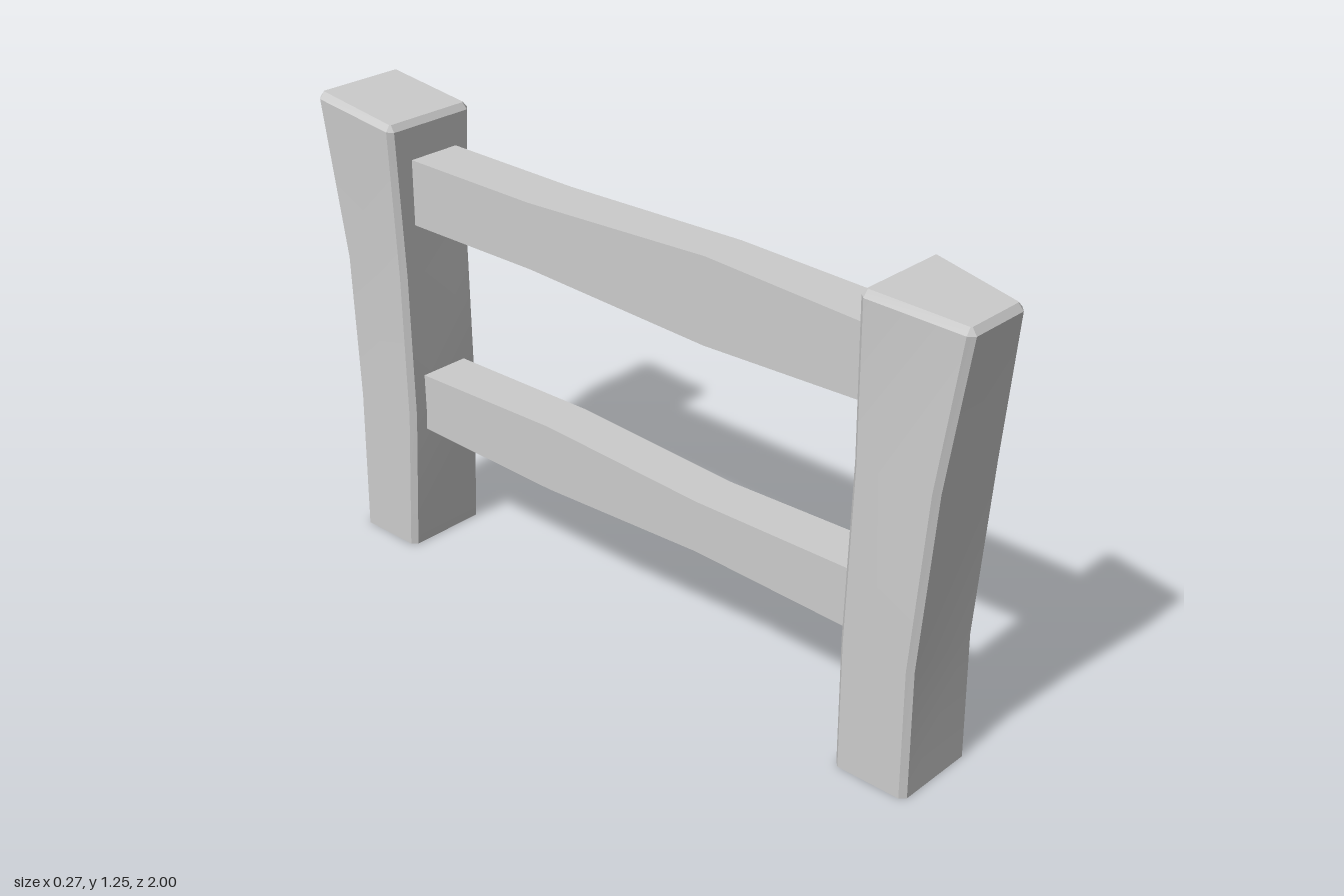
import * as THREE from 'three';
import { toCreasedNormals } from 'three/addons/utils/BufferGeometryUtils.js';

const material = new THREE.MeshStandardMaterial({ color: 0xcccccc });

// Skin a list of equal-length rings (counter-clockwise seen from the last ring), capped at both ends
function loft(name, rings) {
  const n = rings[0].length;
  const index = [];
  for (let r = 0; r < rings.length - 1; r++) {
    for (let i = 0; i < n; i++) {
      const a = r * n + i, b = r * n + (i + 1) % n;
      index.push(a, b, b + n, a, b + n, a + n);
    }
  }
  const last = (rings.length - 1) * n;
  for (let i = 1; i < n - 1; i++) {
    index.push(0, i + 1, i);
    index.push(last, last + i, last + i + 1);
  }
  const geometry = new THREE.BufferGeometry();
  geometry.setAttribute('position', new THREE.Float32BufferAttribute(rings.flat(2), 3));
  geometry.setIndex(index);
  const mesh = new THREE.Mesh(toCreasedNormals(geometry, 0.5), material);
  mesh.name = name;
  return mesh;
}

// Post section: a tapered rectangle with chamfered corners, sloping from front to back
function postRing([zFront, zBack, yFront, yBack, halfFront, halfBack], c = 0.014) {
  const corners = [[halfFront, zFront], [halfBack, zBack], [-halfBack, zBack], [-halfFront, zFront]]
    .map(([x, z]) => new THREE.Vector2(x, z));
  const ring = [];
  corners.forEach((p, i) => {
    for (const q of [corners[(i + 3) % 4], corners[(i + 1) % 4]]) {
      const v = p.clone().add(q.clone().sub(p).setLength(c));
      const t = (v.y - zBack) / (zFront - zBack);
      ring.push([v.x, yBack + (yFront - yBack) * t, v.y]);
    }
  });
  return ring;
}

// Post from sections, finished with a bevelled top
function post(name, sections) {
  const [zF, zB, yF, yB, hF, hB] = sections[sections.length - 1];
  const b = 0.013;
  const top = [zF - b, zB + b, yF + 0.017, yB + 0.017, hF - b, hB - b];
  return loft(name, [...sections.map((s) => postRing(s)), postRing(top, 0.003)]);
}

// Rail from stations: z, left and right x, bottom and top y
function rail(name, stations) {
  return loft(name, stations.map(([z, x0, x1, y0, y1]) =>
    [[x1, y0, z], [x1, y1, z], [x0, y1, z], [x0, y0, z]]));
}

export function createModel() {
  const group = new THREE.Group();
  group.name = 'fence';

  // Posts: zFront, zBack, yFront, yBack, halfFront, halfBack
  group.add(post('frontPost', [
    [0.93, 0.727, 0, 0, 0.122, 0.122],
    [0.925, 0.722, 0.34, 0.34, 0.12, 0.12],
    [0.958, 0.733, 0.8, 0.8, 0.118, 0.12],
    [1.0, 0.737, 1.172, 1.199, 0.098, 0.135],
  ]));
  group.add(post('backPost', [
    [-0.73, -0.93, 0, 0, 0.122, 0.122],
    [-0.71, -0.928, 0.4, 0.4, 0.119, 0.119],
    [-0.717, -0.945, 0.8, 0.8, 0.119, 0.119],
    [-0.717, -1.0, 1.197, 1.228, 0.137, 0.135],
  ]));

  // Hand-hewn rails, with their ends sunk into the posts
  group.add(rail('upperRail', [
    [-0.77, -0.07, 0.08, 0.935, 1.112],
    [-0.3, -0.07, 0.077, 0.935, 1.108],
    [0.27, -0.077, 0.05, 0.915, 1.135],
    [0.78, -0.08, 0.066, 0.932, 1.11],
  ]));
  group.add(rail('lowerRail', [
    [-0.77, -0.07, 0.072, 0.35, 0.508],
    [-0.25, -0.068, 0.066, 0.338, 0.518],
    [0.25, -0.072, 0.058, 0.36, 0.497],
    [0.78, -0.078, 0.064, 0.348, 0.506],
  ]));
  return group;
}
